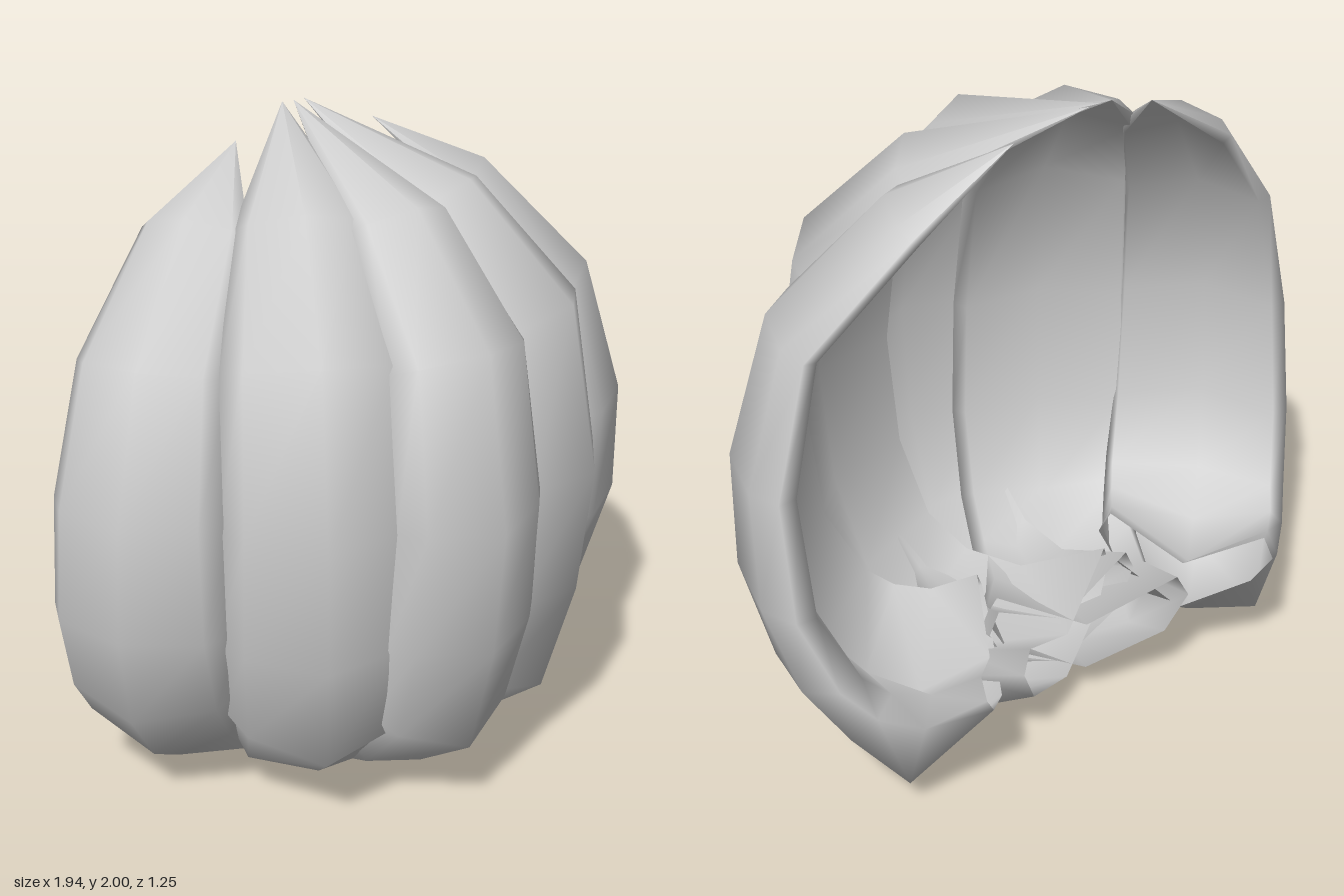
import * as THREE from 'three';

// Stations from tip to curled foot:
// [ridge out, ridge y, rim out, rim y, half width, shoulder depth share]
const MIDDLE = [
  [-0.41, 2.0, -0.41, 2.0, 0, 0.5],
  [0.2, 1.83, 0.1, 1.76, 0.17, 0.5],
  [0.53, 1.51, 0.39, 1.46, 0.23, 0.55],
  [0.62, 1.01, 0.46, 1.02, 0.25, 0.6],
  [0.58, 0.62, 0.43, 0.65, 0.26, 0.6],
  [0.48, 0.26, 0.33, 0.38, 0.25, 0.55],
  [0.24, 0.09, 0.17, 0.27, 0.24, 0.3],
  [0, 0, -0.03, 0.24, 0.24, 0.22],
  [-0.3, 0.13, -0.3, 0.36, 0.28, 0.45],
];
const OUTER = [
  [-0.015, 1.93, -0.015, 1.93, 0, 0.5],
  [0.32, 1.8, 0.25, 1.74, 0.16, 0.5],
  [0.64, 1.47, 0.53, 1.44, 0.225, 0.45],
  [0.76, 1.05, 0.61, 1.05, 0.265, 0.45],
  [0.76, 0.7, 0.58, 0.69, 0.285, 0.45],
  [0.67, 0.39, 0.47, 0.47, 0.29, 0.45],
  [0.5, 0.18, 0.37, 0.39, 0.29, 0.4],
  [0.3, 0.05, 0.24, 0.36, 0.28, 0.2],
  [0.02, 0.26, 0.07, 0.46, 0.27, 0.6],
];

// Closed section: [share of half width, share of the way from ridge to rim];
// shoulders (null) take their depth from the station, the last three are the inner face
const SECTION = [
  [-1, 1], [-0.78, null], [0, 0], [0.78, null], [1, 1],
  [0.88, 1.3], [0, 0.7], [-0.88, 1.3],
];

// One hollow, curved wedge; the offset slides it sideways from the centre plane
function wedge(name, stations, degrees, topOffset, footOffset) {
  const angle = THREE.MathUtils.degToRad(degrees);
  const s = Math.sin(angle), c = Math.cos(angle);
  const n = SECTION.length;
  const positions = [], index = [];
  stations.forEach(([ru, ry, eu, ey, half, shoulder], i) => {
    const offset = THREE.MathUtils.lerp(topOffset, footOffset, i / (stations.length - 1));
    SECTION.forEach(([side, share], j) => {
      const depth = share ?? shoulder;
      const u = THREE.MathUtils.lerp(ru, eu, depth);
      const y = THREE.MathUtils.lerp(ry, ey, depth);
      const p = offset + side * half;
      positions.push(u * s + p * c, y, u * c - p * s);
      if (i < stations.length - 1) {
        const k = (j + 1) % n;
        const a = i * n + j, b = a + n, d = i * n + k, e = d + n;
        if (i > 0) index.push(a, b, d);
        index.push(d, b, e);
      }
    });
  });
  const geometry = new THREE.BufferGeometry();
  geometry.setAttribute('position', new THREE.Float32BufferAttribute(positions, 3));
  geometry.setIndex(index);
  geometry.computeVertexNormals();
  const material = new THREE.MeshStandardMaterial({ color: 0xcccccc, side: THREE.DoubleSide });
  const mesh = new THREE.Mesh(geometry, material);
  mesh.name = name;
  return mesh;
}

export function createModel() {
  const group = new THREE.Group();
  group.name = 'segmentedShell';

  // Wedges beside the middle one are wider, and drawn in a little below the tip
  const inner = MIDDLE.map(([ru, ry, eu, ey, half, shoulder], i) => {
    const shift = i === 0 ? 0.06 : -0.01;
    return [ru + shift, ry, eu + shift, ey, half * 1.12, shoulder];
  });

  group.add(wedge('middleWedge', MIDDLE, 0, 0, 0));
  for (const [side, label] of [[1, 'left'], [-1, 'right']]) {
    group.add(wedge(label + 'InnerWedge', inner, side * 27, side * 0.22, side * 0.2));
    group.add(wedge(label + 'OuterWedge', OUTER, side * 54, side * 0.42, side * 0.56));
  }
  return group;
}
